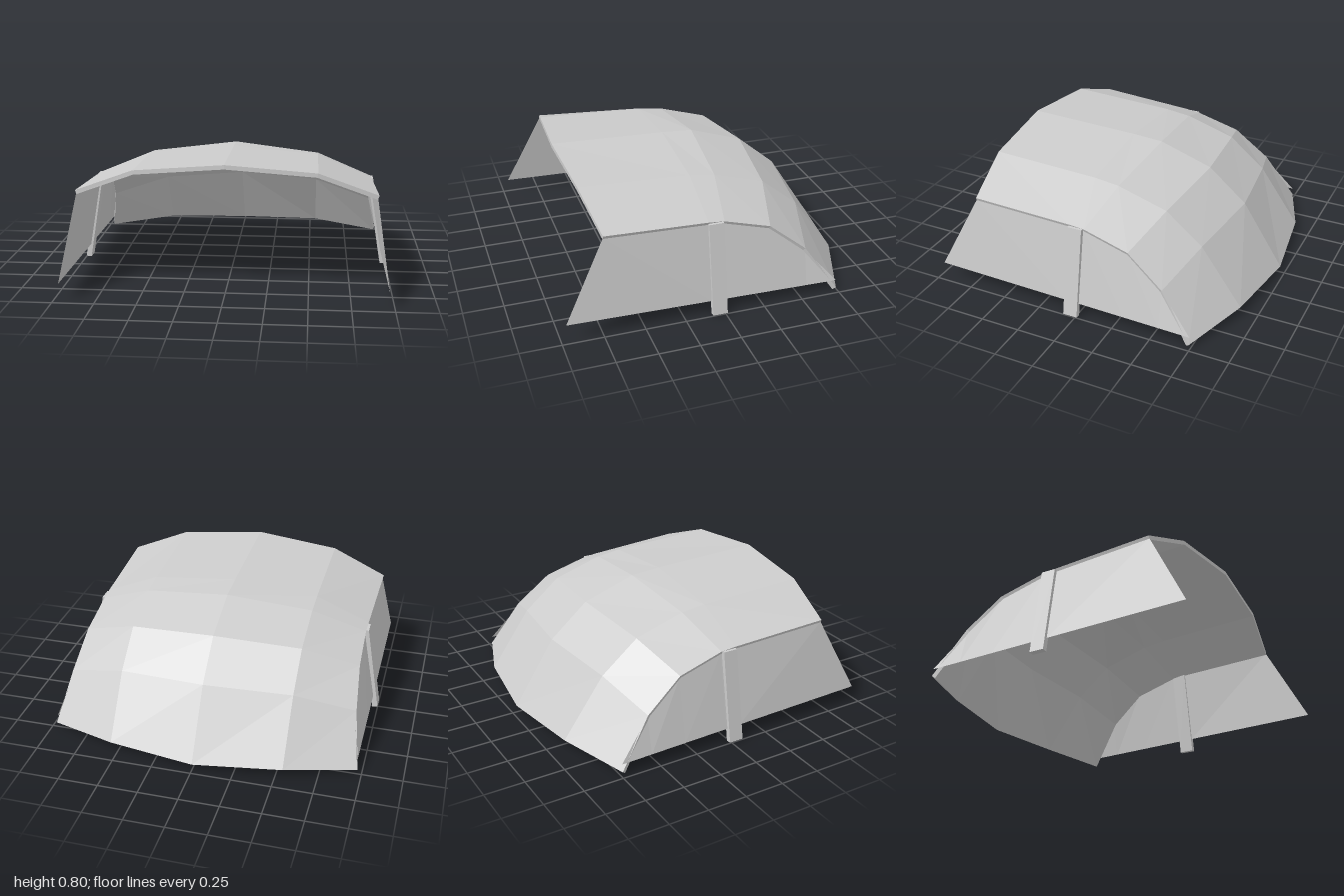
import * as THREE from 'three';

const THICKNESS = 0.026;

// Canopy ribs from front to back: [z, y] at the centre and shoulder, [x, z, y] at the side edge
const RIBS = [
  { mid: [0.805, 0.80], shoulder: [0.77, 0.752], edge: [0.905, 0.715, 0.613] },
  { mid: [0.08, 0.778], shoulder: [0.08, 0.725], edge: [0.89, 0.08, 0.582] },
  { mid: [-0.12, 0.766], shoulder: [-0.08, 0.706], edge: [0.887, -0.02, 0.572] },
  { mid: [-0.46, 0.655], shoulder: [-0.40, 0.61], edge: [0.895, -0.31, 0.492] },
  { mid: [-0.705, 0.45], shoulder: [-0.635, 0.42], edge: [0.92, -0.54, 0.31] },
  { mid: [-0.97, 0.043], shoulder: [-0.898, 0.055], edge: [0.975, -0.74, 0.022] },
];
const COLS = 5;
const SHOULDER_X = 0.545;

function facetedGeometry(points, index) {
  const geometry = new THREE.BufferGeometry();
  geometry.setAttribute('position', new THREE.Float32BufferAttribute(points.flat(), 3));
  geometry.setIndex(index);
  geometry.computeVertexNormals();
  return geometry;
}

// Curved shell with real thickness
function canopyGeometry() {
  const outer = [];
  for (const { mid, shoulder, edge } of RIBS) {
    const s = [shoulder[1], shoulder[0]];
    const e = [edge[2], edge[1]];
    outer.push([-edge[0], ...e], [-SHOULDER_X, ...s], [0, mid[1], mid[0]], [SHOULDER_X, ...s], [edge[0], ...e]);
  }
  const top = [];
  for (let i = 0; i < RIBS.length - 1; i++) {
    for (let j = 0; j < COLS - 1; j++) {
      const a = i * COLS + j, d = a + COLS;
      top.push(a, a + 1, d + 1, a, d + 1, d);
    }
  }
  // Inner skin follows the outer one along its normals
  const normals = facetedGeometry(outer, top).attributes.normal;
  const inner = outer.map(([x, y, z], k) => [
    x - normals.getX(k) * THICKNESS,
    y - normals.getY(k) * THICKNESS,
    z - normals.getZ(k) * THICKNESS,
  ]);
  const n = outer.length;
  const index = [...top];
  for (let k = 0; k < top.length; k += 3) index.push(top[k] + n, top[k + 2] + n, top[k + 1] + n);

  // Rim joining both skins
  const loop = [];
  const last = RIBS.length - 1;
  for (let j = 0; j < COLS - 1; j++) loop.push(j);
  for (let i = 0; i < last; i++) loop.push(i * COLS + COLS - 1);
  for (let j = COLS - 1; j > 0; j--) loop.push(last * COLS + j);
  for (let i = last; i > 0; i--) loop.push(i * COLS);
  loop.forEach((p, k) => {
    const q = loop[(k + 1) % loop.length];
    index.push(q, p, p + n, q, p + n, q + n);
  });
  const geometry = facetedGeometry([...outer, ...inner], index).toNonIndexed();
  geometry.computeVertexNormals();
  return geometry;
}

// Thin side sheet hanging from the canopy edge to a straight lower edge
function sidePanelGeometry(side) {
  const bottomZ = [0.965, 0.08, -0.02, -0.31, -0.54, -0.70];
  const points = [], index = [];
  RIBS.forEach(({ edge }, i) => {
    const z = bottomZ[i];
    const bottomY = 0.085 + 0.021 * z;
    points.push([side * (edge[0] - 0.008), Math.max(edge[2] - 0.015, bottomY), edge[1]]);
    points.push([side * 0.966, bottomY, z]);
    if (i > 0) {
      const a = 2 * i - 2;
      const tris = [a, a + 1, a + 3, a, a + 3, a + 2];
      index.push(...(side > 0 ? tris : tris.reverse()));
    }
  });
  const geometry = facetedGeometry(points, index).toNonIndexed();
  geometry.computeVertexNormals();
  return geometry;
}

// Leaning post
function postGeometry(side) {
  const outline = [[0.966, 0], [1.0, 0.004], [0.904, 0.572], [0.87, 0.572]];
  const shape = new THREE.Shape(outline.map(([x, y]) => new THREE.Vector2(side * x, y)));
  const geometry = new THREE.ExtrudeGeometry(shape, { depth: 0.092, bevelEnabled: false });
  return geometry.translate(0, 0, -0.012);
}

export function createModel() {
  const grey = new THREE.MeshStandardMaterial({ color: 0xcccccc, flatShading: true, side: THREE.DoubleSide });
  grey.name = 'light grey';

  const model = new THREE.Group();
  model.name = 'canopy shelter';
  const add = (name, geometry) => {
    const mesh = new THREE.Mesh(geometry, grey);
    mesh.name = name;
    model.add(mesh);
  };

  add('canopy', canopyGeometry());
  for (const [label, side] of [['left', 1], ['right', -1]]) {
    add(`${label}SidePanel`, sidePanelGeometry(side));
    add(`${label}Post`, postGeometry(side));
  }
  return model;
}
